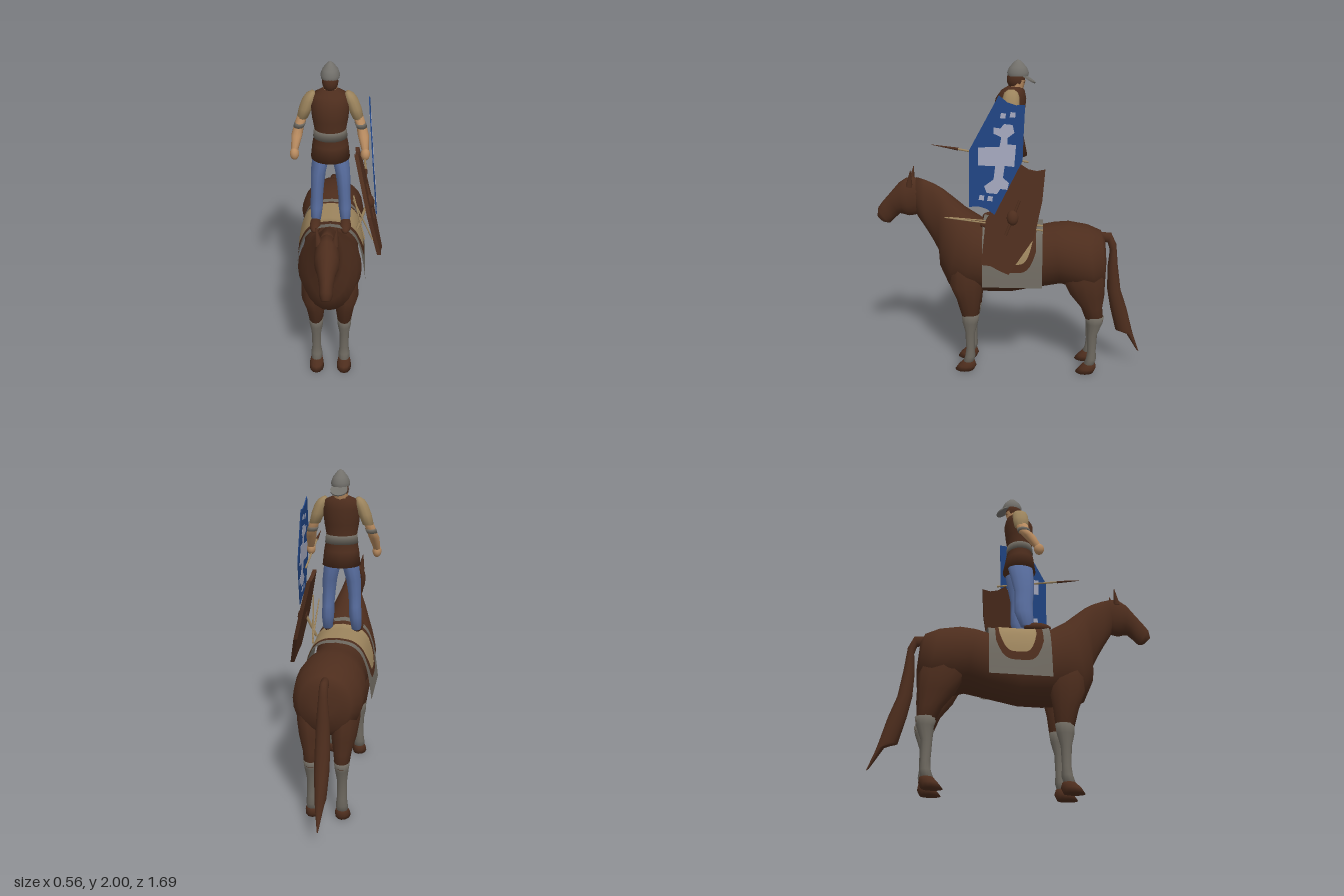
import * as THREE from 'three';

const mat = (name, color, side = THREE.FrontSide) => {
  const m = new THREE.MeshStandardMaterial({ color, side });
  m.name = name;
  return m;
};

export function createModel() {
  const model = new THREE.Group();
  const CX = -0.05; // shared middle plane of horse and rider
  const brown = mat('brown', 0x4d2d1d, THREE.DoubleSide);
  const grey = mat('grey', 0x6e6960, THREE.DoubleSide);
  const tan = mat('tan', 0x9c845d, THREE.DoubleSide);
  const skin = mat('skin', 0xb88b60);
  const denim = mat('trouser blue', 0x5b71a4);
  const steel = mat('steel', 0x72706b, THREE.DoubleSide);
  const blue = mat('shield blue', 0x204483, THREE.DoubleSide);
  const pale = mat('pale paint', 0xa3a7bc, THREE.DoubleSide);

  const add = (name, geo, material) => {
    const m = new THREE.Mesh(geo, material);
    m.name = name;
    model.add(m);
    return m;
  };

  // Loft through oval rings: [z1, y1, z2, y2, halfWidth, x]; the two points end the oval's side-on axis.
  function loft(rings, side = 1, n = 16) {
    const pos = [], idx = [];
    const center = r => [CX + side * (r[5] || 0), (r[1] + r[3]) / 2, (r[0] + r[2]) / 2];
    for (const r of rings) {
      const [x, y, z] = center(r);
      for (let i = 0; i < n; i++) {
        const a = i / n * Math.PI * 2, c = Math.cos(a);
        pos.push(x + Math.sin(a) * r[4], y + c * (r[1] - y), z + c * (r[0] - z));
      }
    }
    const last = (rings.length - 1) * n, cap = rings.length * n;
    pos.push(...center(rings[0]), ...center(rings[rings.length - 1]));
    for (let i = 0; i < n; i++) {
      const j = (i + 1) % n;
      for (let k = 0; k < last; k += n) {
        idx.push(k + i, k + n + i, k + j, k + j, k + n + i, k + n + j);
      }
      idx.push(cap, i, j, cap + 1, last + j, last + i);
    }
    const g = new THREE.BufferGeometry();
    g.setAttribute('position', new THREE.Float32BufferAttribute(pos, 3));
    g.setIndex(idx);
    g.computeVertexNormals();
    return g;
  }
  // Level rings for upright parts: [y, frontZ, backZ, halfWidth, x]
  const upright = (rows, side = 1, n = 12) => loft(rows.map(([y, f, b, w, x]) => [f, y, b, y, w, x]), side, n);

  const ball = (name, x, y, z, sx, sy, sz, material) => {
    const m = add(name, new THREE.SphereGeometry(1, 14, 10), material);
    m.position.set(x, y, z);
    m.scale.set(sx, sy, sz);
    return m;
  };
  const rod = (name, a, b, r0, r1, material) => {
    const p = new THREE.Vector3(...a), q = new THREE.Vector3(...b), d = q.clone().sub(p);
    const m = add(name, new THREE.CylinderGeometry(r1, r0, d.length(), 8), material);
    m.position.copy(p).add(q).multiplyScalar(0.5);
    m.quaternion.setFromUnitVectors(new THREE.Vector3(0, 1, 0), d.normalize());
  };

  // Horse: trunk and neck in one sweep, then the head
  add('horseBody', loft([
    [-0.59, 0.90, -0.605, 0.72, 0.07], [-0.565, 0.945, -0.60, 0.62, 0.15], [-0.48, 0.98, -0.54, 0.56, 0.2],
    [-0.36, 1.0, -0.42, 0.57, 0.21], [-0.27, 0.993, -0.32, 0.6, 0.195], [-0.18, 0.975, -0.2, 0.575, 0.175],
    [0, 0.97, 0, 0.535, 0.172], [0.13, 0.985, 0.15, 0.535, 0.185], [0.2, 1.03, 0.3, 0.55, 0.195],
    [0.29, 1.09, 0.4, 0.575, 0.165], [0.37, 1.16, 0.455, 0.7, 0.122], [0.43, 1.21, 0.46, 0.8, 0.085],
    [0.48, 1.24, 0.5, 0.88, 0.065], [0.54, 1.265, 0.54, 0.95, 0.057], [0.59, 1.28, 0.59, 1.03, 0.054],
  ], 1, 24), brown);
  add('horseHead', loft([
    [0.52, 1.24, 0.54, 1.06, 0.04], [0.61, 1.285, 0.61, 1.035, 0.06], [0.655, 1.275, 0.645, 1.03, 0.07],
    [0.70, 1.245, 0.675, 1.04, 0.067], [0.77, 1.165, 0.70, 1.045, 0.047], [0.81, 1.12, 0.74, 1.01, 0.038],
    [0.84, 1.08, 0.77, 0.98, 0.037], [0.848, 1.03, 0.80, 0.985, 0.025],
  ]), brown);
  add('horseTail', loft([
    [-0.57, 0.875, -0.57, 0.94, 0.025], [-0.61, 0.87, -0.63, 0.935, 0.025], [-0.625, 0.82, -0.665, 0.86, 0.027],
    [-0.615, 0.7, -0.68, 0.72, 0.038], [-0.62, 0.55, -0.705, 0.55, 0.044], [-0.645, 0.42, -0.75, 0.42, 0.044],
    [-0.685, 0.265, -0.79, 0.27, 0.034], [-0.75, 0.25, -0.805, 0.22, 0.025], [-0.83, 0.12, -0.845, 0.11, 0.004],
  ], 1, 12), brown);

  // Legs, socks, hooves and ears, mirrored
  for (const s of [-1, 1]) {
    const X = 0.09;
    add('frontLeg', upright([[0.85, 0.34, 0.2, 0.04, 0.075], [0.75, 0.38, 0.16, 0.075, 0.095], [0.6, 0.385, 0.17, 0.078, 0.1],
      [0.5, 0.345, 0.19, 0.06, 0.092], [0.37, 0.31, 0.205, 0.042, X]], s), brown);
    add('frontSock', upright([[0.4, 0.315, 0.2, 0.047, X], [0.34, 0.312, 0.21, 0.043, X], [0.27, 0.295, 0.23, 0.031, X],
      [0.15, 0.29, 0.235, 0.029, X], [0.1, 0.297, 0.23, 0.036, X], [0.045, 0.315, 0.245, 0.035, X]], s), grey);
    add('frontHoof', upright([[0.062, 0.31, 0.235, 0.037, X], [0.03, 0.345, 0.225, 0.045, X], [0, 0.365, 0.24, 0.047, X]], s), brown);
    add('hindLeg', upright([[0.85, -0.3, -0.56, 0.07, 0.11], [0.65, -0.33, -0.595, 0.085, 0.1], [0.55, -0.38, -0.595, 0.075, 0.095],
      [0.46, -0.45, -0.585, 0.055, X], [0.37, -0.485, -0.595, 0.042, X]], s), brown);
    add('hindSock', upright([[0.4, -0.475, -0.6, 0.048, X], [0.35, -0.49, -0.59, 0.041, X], [0.27, -0.495, -0.56, 0.031, X],
      [0.15, -0.5, -0.555, 0.03, X], [0.1, -0.495, -0.56, 0.036, X], [0.045, -0.475, -0.545, 0.035, X]], s), grey);
    add('hindHoof', upright([[0.062, -0.48, -0.555, 0.037, X], [0.03, -0.45, -0.56, 0.045, X], [0, -0.425, -0.545, 0.047, X]], s), brown);
    rod('horseEar', [CX + s * 0.042, 1.23, 0.63], [CX + s * 0.056, 1.335, 0.615], 0.022, 0.002, brown);
  }

  // Saddle blanket: layered U-shaped panels draped over the back
  const drape = new THREE.CatmullRomCurve3([[0, 1.0], [0.085, 0.987], [0.142, 0.945], [0.182, 0.86], [0.203, 0.76], [0.22, 0.64]]
    .map(([x, y]) => new THREE.Vector3(x, y, 0)));
  function blanket(name, z0, z1, reach, round, lift, material) {
    const g = new THREE.PlaneGeometry(2, 2, 40, 16), p = g.attributes.position;
    for (let i = 0; i < p.count; i++) {
      const v = p.getX(i), u = p.getY(i), z = (z0 + z1) / 2 + u * (z1 - z0) / 2;
      const t = Math.abs(v) * reach * (1 - round * Math.pow(Math.abs(u), 4));
      const q = drape.getPointAt(t);
      p.setXYZ(i, CX + Math.sign(v) * q.x * (1 + lift * 5), q.y + (lift + Math.max(0, z - 0.05) * 0.3) * (1 - t), z);
    }
    // The grid runs x across and z upward, so reverse it to face outward
    const ix = g.index.array;
    for (let i = 0; i < ix.length; i += 3) [ix[i], ix[i + 1]] = [ix[i + 1], ix[i]];
    g.computeVertexNormals();
    add(name, g, material);
  }
  blanket('blanketBorder', -0.2, 0.17, 1, 0, 0, grey);
  blanket('blanketBand', -0.16, 0.125, 0.8, 0.35, 0.004, brown);
  blanket('saddleCloth', -0.138, 0.085, 0.69, 0.42, 0.008, tan);

  // Rider standing on the horse's back
  for (const s of [-1, 1]) {
    ball('shoe', CX + s * 0.092, 1.005, 0.105, 0.034, 0.03, 0.085, brown);
    add('trouserLeg', upright([[1.48, 0.08, -0.07, 0.045, 0.05], [1.42, 0.088, -0.072, 0.05, 0.057], [1.34, 0.09, -0.055, 0.045, 0.072],
      [1.25, 0.088, -0.035, 0.04, 0.079], [1.17, 0.08, -0.035, 0.037, 0.083], [1.1, 0.08, -0.035, 0.039, 0.086],
      [1.01, 0.085, 0, 0.03, 0.09]], s), denim);
    add('sleeve', upright([[1.835, 0.015, -0.025, 0.012, 0.1], [1.82, 0.035, -0.045, 0.028, 0.108], [1.79, 0.045, -0.055, 0.038, 0.12],
      [1.74, 0.048, -0.055, 0.039, 0.138], [1.68, 0.042, -0.048, 0.033, 0.158]], s), tan);
    add('forearm', upright([[1.7, 0.038, -0.043, 0.03, 0.155], [1.63, 0.05, -0.025, 0.029, 0.18], [1.59, 0.08, 0.01, 0.032, 0.19],
      [1.51, 0.12, 0.065, 0.02, 0.203]], s), skin);
    add('elbowBand', upright([[1.652, 0.05, -0.035, 0.033, 0.171], [1.628, 0.054, -0.03, 0.032, 0.18]], s), grey);
    ball('hand', CX + s * 0.203, 1.495, 0.1, 0.027, 0.038, 0.032, skin);
  }
  add('tunic', upright([[1.845, 0.02, -0.06, 0.045], [1.82, 0.06, -0.08, 0.1], [1.77, 0.095, -0.09, 0.113], [1.68, 0.1, -0.08, 0.103],
    [1.6, 0.085, -0.065, 0.089], [1.52, 0.1, -0.08, 0.105], [1.43, 0.112, -0.098, 0.115]], 1, 20), brown);
  add('belt', upright([[1.615, 0.092, -0.073, 0.094], [1.565, 0.097, -0.077, 0.1]], 1, 20), grey);
  rod('neck', [CX, 1.8, -0.02], [CX, 1.89, -0.045], 0.042, 0.042, skin);
  ball('head', CX, 1.885, -0.028, 0.046, 0.062, 0.055, brown);
  const helmet = add('helmet', new THREE.LatheGeometry([[0.052, 0], [0.055, 0.02], [0.044, 0.05], [0.018, 0.083], [0, 0.095]]
    .map(([x, y]) => new THREE.Vector2(x, y)), 20), steel);
  helmet.position.set(CX, 1.905, -0.04);
  helmet.scale.z = 1.17;
  const guard = add('neckGuard', new THREE.CylinderGeometry(0.05, 0.05, 0.008, 16), steel);
  guard.position.set(CX, 1.89, -0.1);
  guard.rotation.x = -0.55;

  // Shields: outlines in [z, y], extruded sideways and leaned outward by slope
  function plate(name, pts, depth, x0, y0, slope, material) {
    const g = new THREE.ExtrudeGeometry(new THREE.Shape(pts.map(([z, y]) => new THREE.Vector2(-z, y))), { depth, bevelEnabled: false });
    g.translate(0, 0, -depth / 2).rotateY(Math.PI / 2);
    const p = g.attributes.position;
    for (let i = 0; i < p.count; i++) p.setX(i, p.getX(i) + x0 + (y0 - p.getY(i)) * slope);
    g.computeVertexNormals();
    add(name, g, material);
  }
  const lean = [0.172, 1.79, 0.083];
  plate('blueShield', [[0.06, 1.82], [0.01, 1.78], [-0.04, 1.765], [-0.09, 1.768], [-0.083, 1.6], [-0.078, 1.45], [0.085, 1.13],
    [0.13, 1.165], [0.18, 1.18], [0.235, 1.175], [0.232, 1.35], [0.23, 1.51]], 0.006, ...lean, blue);
  plate('shieldEmblem', [[0.09, 1.64], [0.05, 1.635], [0.03, 1.66], [-0.02, 1.655], [-0.03, 1.61], [0.01, 1.58], [0.01, 1.545],
    [-0.04, 1.54], [-0.03, 1.415], [0.025, 1.42], [0.035, 1.35], [0, 1.32], [0.01, 1.28], [0.05, 1.285], [0.07, 1.255], [0.13, 1.26],
    [0.145, 1.3], [0.09, 1.34], [0.08, 1.42], [0.18, 1.42], [0.18, 1.525], [0.055, 1.53], [0.045, 1.585], [0.09, 1.605]], 0.009, ...lean, pale);
  for (const [z, y] of [[0.035, 1.705], [-0.02, 1.71], [0.16, 1.23], [0.11, 1.225]]) {
    plate('shieldDab', [[z + 0.018, y - 0.012], [z + 0.012, y + 0.018], [z - 0.016, y + 0.014], [z - 0.014, y - 0.014]], 0.009, ...lean, pale);
  }
  plate('brownShield', [[-0.06, 1.405], [-0.11, 1.375], [-0.16, 1.365], [-0.21, 1.375], [-0.195, 1.2], [-0.15, 0.985], [0, 0.77],
    [0.05, 0.79], [0.11, 0.82], [0.165, 0.825], [0.14, 1.08]], 0.024, 0.1, 1.41, 0.257, brown);
  const boss = ball('shieldBoss', 0.188, 1.1, -0.02, 0.03, 0.046, 0.036, brown);
  boss.rotation.z = 0.26;
  rod('shieldSpine', [0.166, 1.2, -0.06], [0.217, 1.0, 0.02], 0.009, 0.009, brown);
  rod('shieldGrip', [0.115, 0.94, 0.05], [0.175, 1.1, 0], 0.009, 0.009, tan);

  // Spears
  rod('heldSpear', [0.145, 1.43, -0.11], [0.155, 1.505, 0.3], 0.006, 0.006, tan);
  rod('heldSpearTip', [0.155, 1.505, 0.3], [0.156, 1.53, 0.455], 0.009, 0.001, brown);
  rod('spareSpear', [0.09, 0.99, -0.2], [0.2, 1.1, 0.385], 0.006, 0.004, tan);
  rod('secondSpareSpear', [0.09, 1.02, -0.2], [0.155, 1.085, 0.36], 0.006, 0.004, tan);
  return model;
}
